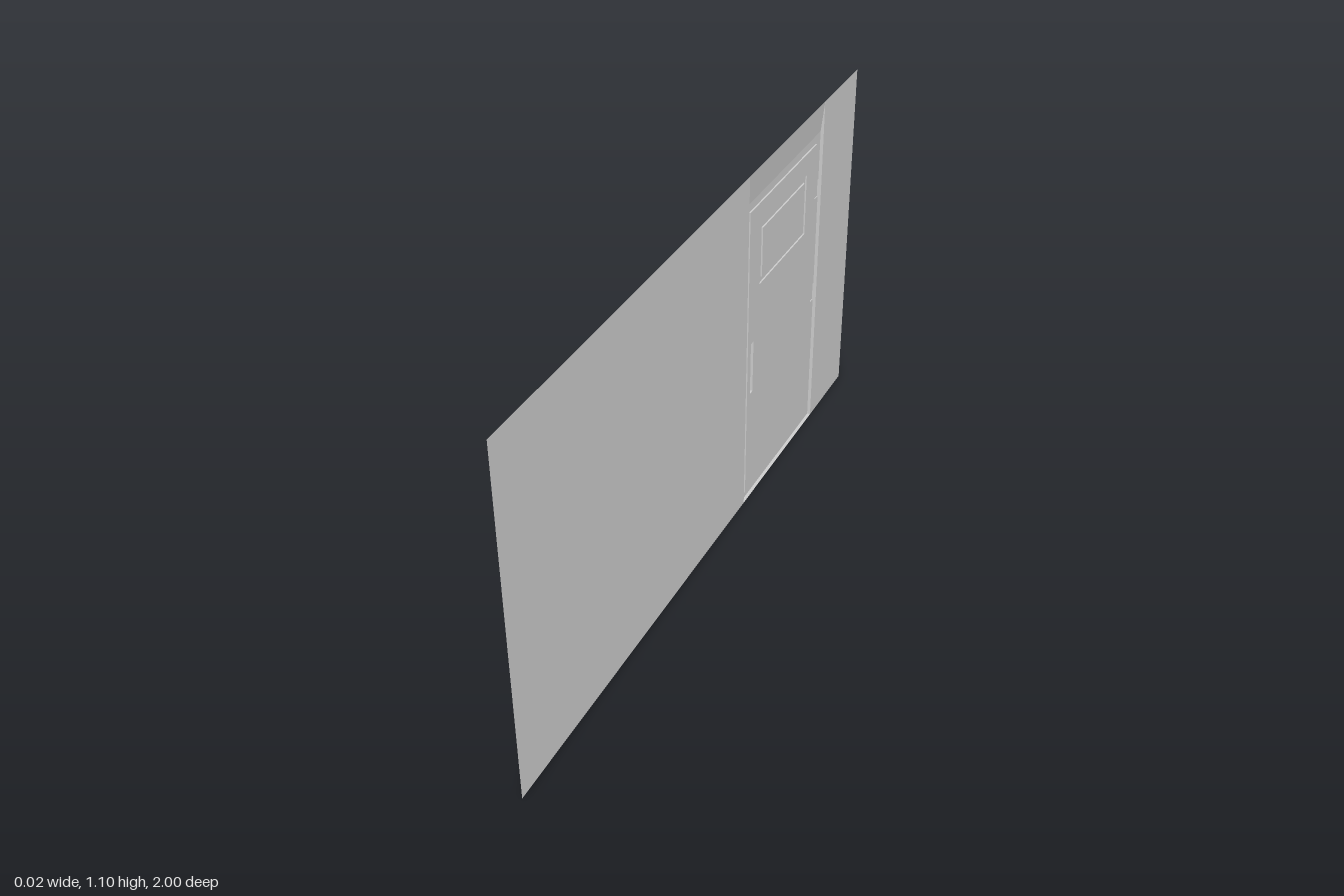
import * as THREE from 'three';

const material = new THREE.MeshStandardMaterial({ color: 0xcccccc, side: THREE.DoubleSide, flatShading: true });

// Depth of each layer along x (the sheet is pressed outwards towards -x)
const WALL = 0.0105, PANEL = 0.005, FRAME = 0.0005, HINGE = -0.002, HANDLE = -0.0105;
const HEIGHT = 1.1;

// Rectangles are [z0, z1, y0, y1]
const DOOR = [-0.76, -0.26, 0, 1.005];
const LEAF = [-0.727, -0.28, 0.022, 0.98];
const WINDOW = [-0.66, -0.35, 0.72, 0.912];
const PANE = [-0.648, -0.364, 0.736, 0.893];
const GRIP = [-0.317, -0.3, 0.375, 0.548];
const HINGES = [[0.437, 0.495], [0.795, 0.852]];

const corners = ([z0, z1, y0, y1]) => [[z0, y0], [z1, y0], [z1, y1], [z0, y1]];
const path = (r, Type) => new Type(corners(r).map(([z, y]) => new THREE.Vector2(z, y)));

function add(group, name, geometry) {
  const mesh = new THREE.Mesh(geometry, material);
  mesh.name = name;
  group.add(mesh);
}

// Flat sheet facing along x, with optional openings
function plate(group, name, x, rect, openings = []) {
  const shape = path(rect, THREE.Shape);
  shape.holes = openings.map((r) => path(r, THREE.Path));
  add(group, name, new THREE.ShapeGeometry(shape).rotateY(-Math.PI / 2).translate(x, 0, 0));
}

// Polygon fan from corner points [x, y, z]
function face(group, name, points) {
  const position = [];
  for (let i = 1; i < points.length - 1; i++) position.push(...points[0], ...points[i], ...points[i + 1]);
  const geometry = new THREE.BufferGeometry();
  geometry.setAttribute('position', new THREE.Float32BufferAttribute(position, 3));
  geometry.computeVertexNormals();
  add(group, name, geometry);
}

// Four narrow walls joining two layers around a rectangle
function step(group, name, rect, xa, xb) {
  const c = corners(rect);
  c.forEach(([z, y], i) => {
    const [zn, yn] = c[(i + 1) % 4];
    face(group, name, [[xa, y, z], [xa, yn, zn], [xb, yn, zn], [xb, y, z]]);
  });
}

export function createModel() {
  const model = new THREE.Group();
  model.name = 'wallWithDoor';
  const [z0, z1, , top] = DOOR;

  // Wall on both sides of the doorway
  plate(model, 'wallLong', WALL, [z1, 1, 0, HEIGHT]);
  plate(model, 'wallShort', WALL, [-1, z0, 0, HEIGHT]);

  // Sides of the doorway, tapering into the wall at the top, and the sill
  for (const z of [z0, z1]) {
    face(model, 'jamb', [[WALL, 0, z], [FRAME, 0, z], [FRAME, top, z], [WALL, HEIGHT, z]]);
  }
  face(model, 'sill', [[WALL, 0, z0], [WALL, 0, z1], [FRAME, 0, z1], [FRAME, 0, z0]]);
  face(model, 'slopedHeader', [[FRAME, top, z0], [FRAME, top, z1], [WALL, HEIGHT, z1], [WALL, HEIGHT, z0]]);

  // Frame around the leaf, interrupted by the hinges
  plate(model, 'frameLatchSide', FRAME, [LEAF[1], z1, 0, top]);
  plate(model, 'frameBottom', FRAME, [LEAF[0], LEAF[1], 0, LEAF[2]]);
  plate(model, 'frameTop', FRAME, [LEAF[0], LEAF[1], LEAF[3], top]);
  let y = 0;
  for (const [a, b] of HINGES) {
    plate(model, 'frameHingeSide', FRAME, [z0, LEAF[0], y, a]);
    const hinge = [z0, LEAF[0], a, b];
    plate(model, 'hinge', HINGE, hinge);
    step(model, 'hingeEdge', hinge, FRAME, HINGE);
    y = b;
  }
  plate(model, 'frameHingeSide', FRAME, [z0, LEAF[0], y, top]);

  // Door leaf set back within the frame
  plate(model, 'doorLeaf', PANEL, LEAF, [WINDOW, GRIP]);
  step(model, 'leafEdge', LEAF, FRAME, PANEL);

  // Window with a raised rim
  plate(model, 'windowRim', FRAME, WINDOW, [PANE]);
  step(model, 'windowRimOuterEdge', WINDOW, PANEL, FRAME);
  step(model, 'windowRimInnerEdge', PANE, FRAME, PANEL);
  plate(model, 'windowPane', PANEL, PANE);

  // Upright handle
  plate(model, 'handle', HANDLE, GRIP);
  step(model, 'handleEdge', GRIP, PANEL, HANDLE);

  return model;
}
